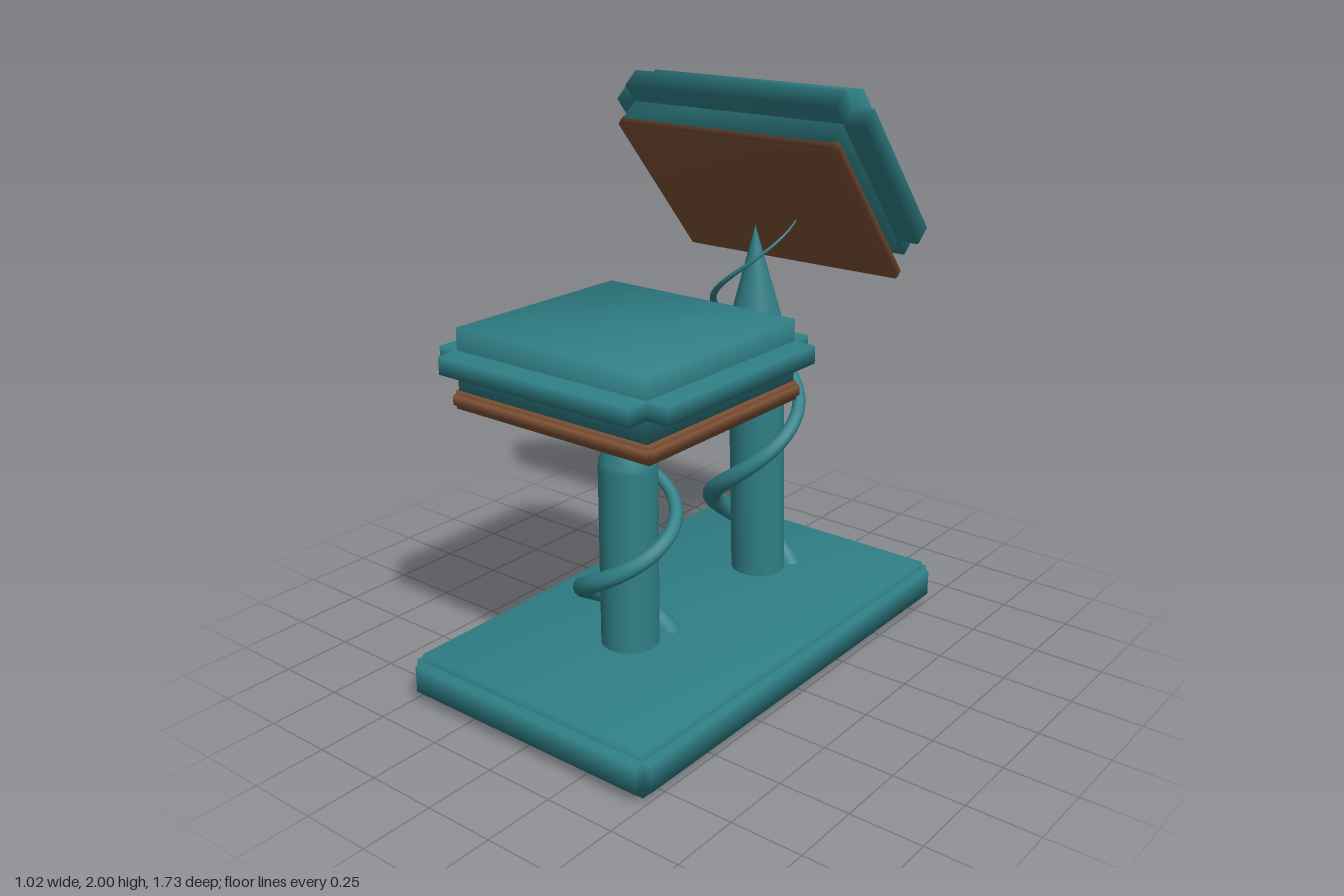
import * as THREE from 'three';
import { mergeVertices, mergeGeometries } from 'three/addons/utils/BufferGeometryUtils.js';

const teal = new THREE.MeshStandardMaterial({ color: 0x2f7f86 });
teal.name = 'teal';
const brown = new THREE.MeshStandardMaterial({ color: 0x7c5034 });
brown.name = 'brown';

// box with shared corners, so the shading runs softly over its edges
function softBox(w, h, d) {
  const g = new THREE.BoxGeometry(w, h, d);
  g.deleteAttribute('normal');
  g.deleteAttribute('uv');
  const m = mergeVertices(g);
  m.computeVertexNormals();
  return m;
}

// slab with a thinner lip pushed out of each of its four sides (half sizes)
function lippedSlab(name, material, hx, hy, hz, lipY, lipX, lipZ) {
  const g = mergeGeometries([
    softBox(2 * hx, 2 * hy, 2 * hz),
    softBox(2 * (hx + lipX), 2 * lipY, 2 * hz),
    softBox(2 * hx, 2 * lipY, 2 * (hz + lipZ)),
  ]);
  const mesh = new THREE.Mesh(g, material);
  mesh.name = name;
  return mesh;
}

// round post with a pointed top, standing at its own origin
function post(name, shoulder, tip) {
  const profile = [[0, 0], [0.1, 0], [0.1, 0.03], [0.1, shoulder - 0.02],
    [0.098, shoulder], [0.085, shoulder + (tip - shoulder) * 0.15], [0, tip]];
  const g = new THREE.LatheGeometry(profile.map(p => new THREE.Vector2(...p)), 32);
  const mesh = new THREE.Mesh(g, teal);
  mesh.name = name;
  return mesh;
}

// tapering vine winding two turns upward
function vine(name, z, y0, y1) {
  const points = [];
  for (let i = 0; i <= 48; i++) {
    const t = 0.045 + 0.955 * i / 48;
    const a = -t * Math.PI * 4;
    points.push(new THREE.Vector3(
      0.157 * Math.cos(a), y0 + (y1 - y0) * t, z + 0.157 * Math.sin(a)));
  }
  const path = new THREE.CatmullRomCurve3(points);
  const rings = 96, sides = 12, radius = 0.047;
  const g = new THREE.TubeGeometry(path, rings, radius, sides);
  const pos = g.attributes.position, v = new THREE.Vector3();
  for (let i = 0; i <= rings; i++) {
    const c = path.getPointAt(i / rings);
    const s = 1 - 0.94 * i / rings;
    for (let j = 0; j <= sides; j++) {
      const k = i * (sides + 1) + j;
      v.fromBufferAttribute(pos, k).sub(c).multiplyScalar(s).add(c);
      pos.setXYZ(k, v.x, v.y, v.z);
    }
  }
  const mesh = new THREE.Mesh(g, teal);
  mesh.name = name;
  return mesh;
}

export function createModel() {
  const model = new THREE.Group();
  model.name = 'chair';

  // floor slab
  const base = lippedSlab('base', teal, 0.48, 0.0775, 0.83, 0.048, 0.03, 0.035);
  base.position.y = 0.0875;

  // seat cushion over its board
  const seat = new THREE.Group();
  seat.name = 'seat';
  seat.position.set(0, 1.185, 0.315);
  const seatBoard = lippedSlab('seatBoard', brown, 0.4, 0.031, 0.375, 0.015, 0.012, 0.015);
  seatBoard.position.y = -0.135;
  seat.add(lippedSlab('seatCushion', teal, 0.39, 0.105, 0.372, 0.03, 0.08, 0.08), seatBoard);

  // leaning back cushion and its board
  const back = new THREE.Group();
  back.name = 'backrest';
  back.position.set(0, 1.694, -0.458);
  back.rotation.x = -0.869;
  const backBoard = lippedSlab('backBoard', brown, 0.44, 0.022, 0.32, 0.014, 0.011, 0.013);
  backBoard.position.set(0, -0.12, -0.045);
  back.add(lippedSlab('backCushion', teal, 0.43, 0.114, 0.292, 0.037, 0.08, 0.076), backBoard);

  // posts, the rear one tipped slightly forward
  const frontPost = post('frontPost', 0.82, 1.085);
  frontPost.position.set(0, 0.006, 0.32);
  const rearPost = post('rearPost', 1.12, 1.485);
  rearPost.position.set(0, 0.004, -0.431);
  rearPost.rotation.x = 0.037;

  model.add(base, seat, back, frontPost, rearPost,
    vine('frontVine', 0.32, 0.03, 1.13),
    vine('rearVine', -0.395, 0.01, 1.52));
  return model;
}
